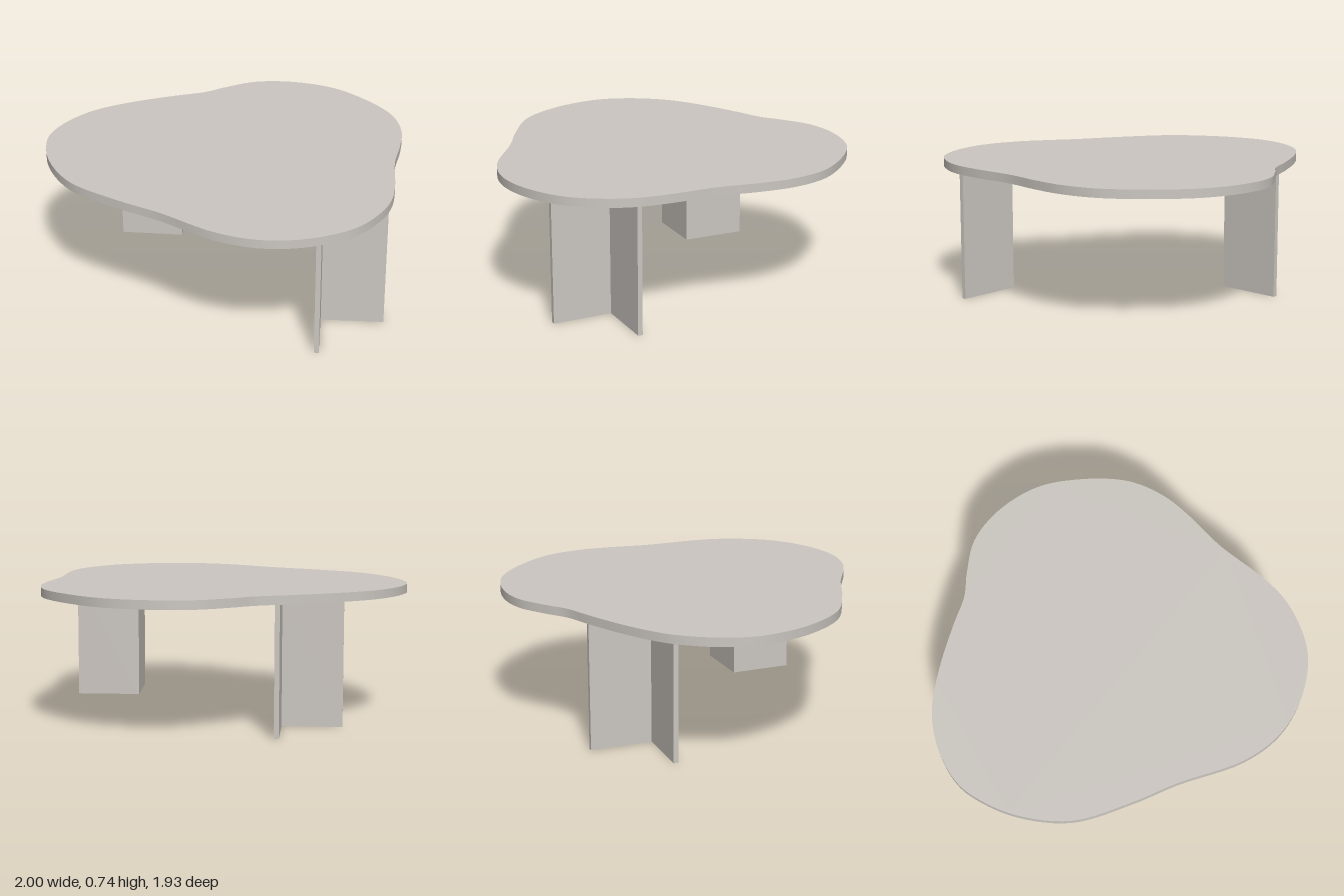
import * as THREE from 'three';
import { toCreasedNormals } from 'three/addons/utils/BufferGeometryUtils.js';

const LEG_HEIGHT = 0.69;
const TOP_THICKNESS = 0.047;

// Extrudes an outline of [x, z] points upwards
function slab(points, height) {
  const shape = new THREE.Shape(points.map(([x, z]) => new THREE.Vector2(x, -z)));
  const geometry = new THREE.ExtrudeGeometry(shape, { depth: height, bevelEnabled: false });
  geometry.rotateX(-Math.PI / 2);
  return geometry;
}

export function createModel() {
  const group = new THREE.Group();
  const stone = new THREE.MeshStandardMaterial({ color: 0xcbc6c0 });
  stone.name = 'warm grey';

  // Freeform three-lobed table top
  const outline = [
    [-0.12, -0.97], [-0.37, -0.94], [-0.595, -0.81], [-0.73, -0.645], [-0.78, -0.455],
    [-0.8, -0.32], [-0.866, -0.16], [-0.945, 0.06], [-0.99, 0.24], [-1, 0.37],
    [-0.968, 0.55], [-0.888, 0.71], [-0.797, 0.797], [-0.6, 0.905], [-0.315, 0.96],
    [0, 0.89], [0.246, 0.807], [0.6, 0.715], [0.8, 0.59], [0.936, 0.4],
    [1, 0.16], [0.963, -0.053], [0.9, -0.187], [0.8, -0.31], [0.6, -0.508],
    [0.46, -0.69], [0.326, -0.83], [0.14, -0.936],
  ];
  const curve = new THREE.CatmullRomCurve3(
    outline.map(([x, z]) => new THREE.Vector3(x, 0, z)), true, 'centripetal');
  const rim = curve.getPoints(168).slice(0, -1).map((p) => [p.x, p.z]);
  const top = new THREE.Mesh(toCreasedNormals(slab(rim, TOP_THICKNESS), 0.6), stone);
  top.name = 'tableTop';
  top.position.y = LEG_HEIGHT;
  group.add(top);

  // V-shaped legs of two upright panels, opening outwards
  const profile = [
    [0, 0.055], [0.252, 0.3], [0.27, 0.281], [0.038, 0.057], [0.27, -0.183], [0.252, -0.201],
  ];
  for (const [name, side, x] of [['leftLeg', 1, 0.617], ['rightLeg', -1, -0.567]]) {
    const leg = new THREE.Mesh(
      slab(profile.map(([dx, z]) => [x + side * dx, z]), LEG_HEIGHT), stone);
    leg.name = name;
    group.add(leg);
  }
  return group;
}
